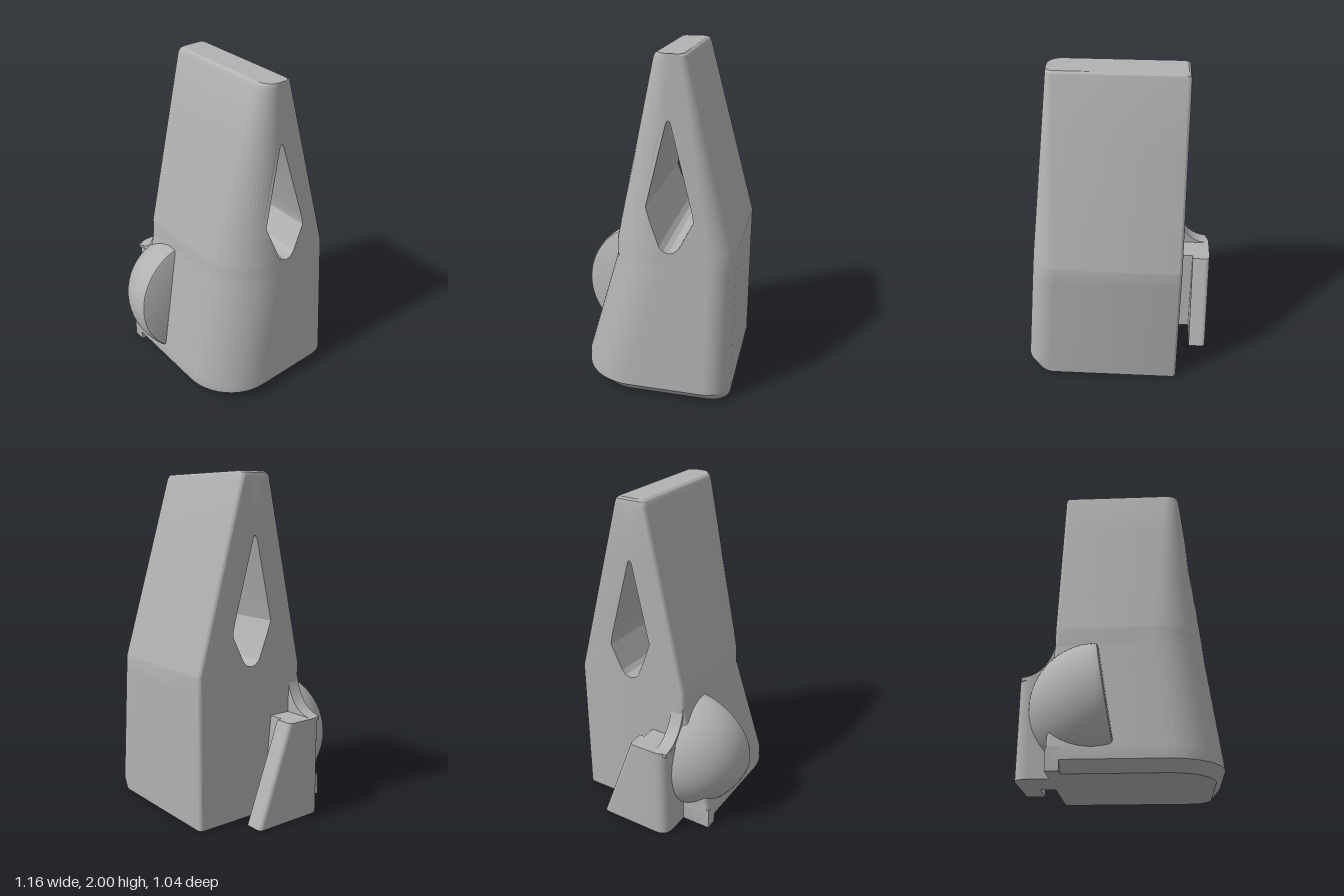
import * as THREE from 'three';
import { toCreasedNormals } from 'three/addons/utils/BufferGeometryUtils.js';

const lerp = THREE.MathUtils.lerp;

// Body outline by height: y, front z, back z, right end x, front and back corner radius, left end x
const OUTLINE = [
  [0, 0.33, -0.52, 0.525, 0.27, 0.12, -0.385],
  [0.06, 0.4, -0.52, 0.578, 0.33, 0.15, -0.385],
  [0.13, 0.4, -0.52, 0.571, 0.33, 0.15, -0.385],
  [0.78, 0.22, -0.52, 0.507, 0.31, 0.14, -0.385],
  [0.89, 0.22, -0.52, 0.496, 0.3, 0.14, -0.385],
  [1.97, -0.02, -0.222, 0.388, 0.095, 0.04, -0.385],
  [1.99, -0.03, -0.214, 0.386, 0.09, 0.04, -0.38],
  [2, -0.045, -0.2, 0.385, 0.08, 0.04, -0.368],
];
// Through hole: y, front edge z, back edge z
const HOLE = [
  [0, -0.15, -0.15], [0.905, -0.15, -0.15], [0.915, -0.12, -0.185], [0.94, -0.095, -0.21],
  [1.09, -0.035, -0.285], [1.11, -0.028, -0.285], [1.16, -0.01, -0.275],
  [1.63, -0.116, -0.144], [1.645, -0.122, -0.138], [1.65, -0.13, -0.13], [2, -0.13, -0.13],
];

function sample(table, y) {
  let i = 0;
  while (i < table.length - 2 && y > table[i + 1][0]) i++;
  const a = table[i], b = table[i + 1];
  const t = (y - a[0]) / (b[0] - a[0]);
  return a.map((v, k) => lerp(v, b[k], t));
}

// Cross-section of the front (side 1) or back (side -1) half, split along the hole
function section(y, side) {
  const [, zf, zb, xr, rf, rb, xl] = sample(OUTLINE, y);
  const [, hf, hb] = sample(HOLE, y);
  const outer = side > 0 ? zf : -zb;
  const inner = side > 0 ? hf : -hb;
  const r = side > 0 ? rf : rb;
  const small = 0.025;
  const pts = [[xl, inner]];
  for (let i = 0; i <= 4; i++) {
    const a = (i / 4) * Math.PI / 2;
    pts.push([xl + small * (1 - Math.cos(a)), outer - small * (1 - Math.sin(a))]);
  }
  const end = Math.acos(THREE.MathUtils.clamp((inner - outer + r) / r, 0, 1));
  for (let i = 0; i <= 12; i++) {
    const a = (i / 12) * end;
    pts.push([xr - r + r * Math.sin(a), outer - r + r * Math.cos(a)]);
  }
  pts.push([pts[pts.length - 1][0], inner]);
  return pts.map(([x, d]) => [x, y, d * side]);
}

function bodyHalf(side) {
  const heights = [...new Set([...OUTLINE, ...HOLE].map((row) => row[0]))].sort((a, b) => a - b);
  const rings = heights.map((y) => section(y, side));
  const n = rings[0].length;
  const index = [];
  const tri = (a, b, c) => (side > 0 ? index.push(a, b, c) : index.push(a, c, b));
  for (let k = 0; k < rings.length - 1; k++) {
    for (let i = 0; i < n; i++) {
      const a = k * n + i, b = k * n + (i + 1) % n;
      tri(a, b, b + n);
      tri(a, b + n, a + n);
    }
  }
  const top = (rings.length - 1) * n;
  for (let i = 1; i < n - 1; i++) {
    tri(0, i + 1, i);
    tri(top, top + i, top + i + 1);
  }
  const geo = new THREE.BufferGeometry();
  geo.setAttribute('position', new THREE.Float32BufferAttribute(rings.flat(2), 3));
  geo.setIndex(index);
  return toCreasedNormals(geo, 0.3);
}

function moveVertices(geo, rule) {
  const p = geo.attributes.position;
  const v = new THREE.Vector3();
  for (let i = 0; i < p.count; i++) {
    rule(v.fromBufferAttribute(p, i));
    p.setXYZ(i, v.x, v.y, v.z);
  }
  return toCreasedNormals(geo, 0.45);
}

// Cut ball with a softened rim, flattened where it meets the body
function domeGeometry() {
  const R = 0.385, cut = 0.07;
  const profile = [];
  for (let i = 0; i <= 28; i++) {
    const a = lerp(-Math.PI / 2, Math.asin((cut - 0.02) / R), i / 28);
    profile.push(new THREE.Vector2(Math.max(R * Math.cos(a), 0), R * Math.sin(a)));
  }
  profile.push(new THREE.Vector2(0.375, 0.064), new THREE.Vector2(0.36, cut), new THREE.Vector2(0, cut));
  const geo = new THREE.LatheGeometry(profile, 64);
  geo.rotateZ(-THREE.MathUtils.degToRad(81));
  geo.translate(-0.14, 0.41, 0.14);
  return moveVertices(geo, (v) => { v.z = Math.max(v.z, 0.2); });
}

// Hooked side clip: L-shaped plan with a back edge that leans forward
function clipGeometry() {
  const s = new THREE.Shape();
  s.moveTo(-0.475, 0.25);
  s.lineTo(-0.555, 0.25);
  s.quadraticCurveTo(-0.585, 0.25, -0.585, 0.22);
  s.lineTo(-0.585, -0.14);
  s.quadraticCurveTo(-0.585, -0.22, -0.505, -0.22);
  s.lineTo(-0.37, -0.22);
  s.lineTo(-0.37, 0.06);
  s.lineTo(-0.475, 0.06);
  s.closePath();
  const geo = new THREE.ExtrudeGeometry(s, { depth: 0.59, bevelEnabled: false, curveSegments: 8 });
  geo.rotateX(-Math.PI / 2);
  return moveVertices(geo, (v) => {
    if (v.z < -0.2) v.z += 0.373 * v.y;
    else if (v.z < 0) v.z += 0.1 * v.y;
  });
}

// Curved fillet rising from the clip to the body
function filletGeometry() {
  const s = new THREE.Shape();
  s.moveTo(-0.57, 0.57);
  s.lineTo(-0.57, 0.59);
  s.bezierCurveTo(-0.46, 0.6, -0.39, 0.68, -0.365, 0.86);
  s.lineTo(-0.365, 0.57);
  s.closePath();
  const geo = new THREE.ExtrudeGeometry(s, { depth: 0.08, bevelEnabled: false, curveSegments: 14 });
  geo.translate(0, 0, 0.135);
  return toCreasedNormals(geo, 0.45);
}

export function createModel() {
  const group = new THREE.Group();
  const grey = new THREE.MeshStandardMaterial({ color: 0xb2b2b2 });
  grey.name = 'grey';
  const add = (name, geo) => {
    const mesh = new THREE.Mesh(geo, grey);
    mesh.name = name;
    group.add(mesh);
    return mesh;
  };

  add('bodyFront', bodyHalf(1));
  add('bodyBack', bodyHalf(-1));
  add('dome', domeGeometry());
  add('sideClip', clipGeometry());
  add('clipFillet', filletGeometry());

  // Square foot at the end of the bottom chamfer
  add('cornerFoot', new THREE.BoxGeometry(0.075, 0.13, 0.1)).position.set(-0.3475, 0.065, 0.35);
  return group;
}
